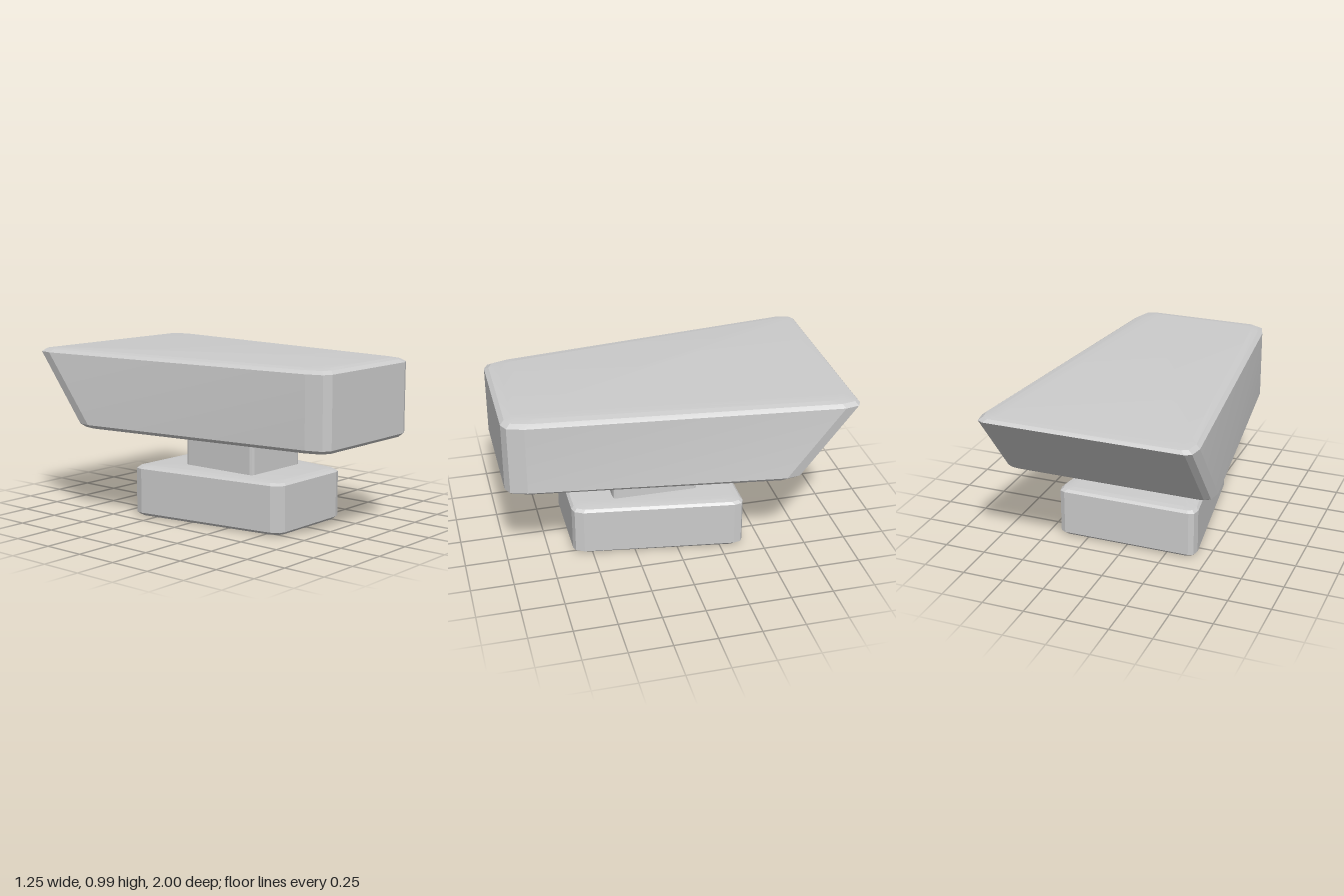
import * as THREE from 'three';
import { toCreasedNormals } from 'three/addons/utils/BufferGeometryUtils.js';

const material = new THREE.MeshStandardMaterial({ color: 0xcccccc });

// Lofts mirrored outlines, given bottom to top, into a closed bevelled block.
// layer: [y, inset, zBack]; corners are [x, z] offsets from the sharp corner,
// running from the front edge along the side to the back edge.
function bevelledBlock(name, { zFront, wFront, wBack, frontCorner, backCorner, layers }) {
  const rings = layers.map(([y, inset, zBack]) => {
    const half = [
      ...frontCorner.map(([dx, dz]) => [wFront - inset - dx, zFront - inset - dz]),
      ...backCorner.map(([dx, dz]) => [wBack - inset - dx, zBack + dz]),
    ];
    const mirrored = half.map(([x, z]) => [-x, z]).reverse();
    return [...half, ...mirrored].map(([x, z]) => [x, y, z]);
  });
  const n = rings[0].length;
  const index = [];
  for (let r = 0; r < rings.length - 1; r++) {
    for (let i = 0; i < n; i++) {
      const a = r * n + i, b = r * n + (i + 1) % n;
      index.push(a, b, b + n, a, b + n, a + n);
    }
  }
  // End caps
  const top = (rings.length - 1) * n;
  for (let i = 1; i < n - 1; i++) {
    index.push(0, i + 1, i);
    index.push(top, top + i, top + i + 1);
  }
  const geometry = new THREE.BufferGeometry();
  geometry.setAttribute('position', new THREE.Float32BufferAttribute(rings.flat(2), 3));
  geometry.setIndex(index);
  const mesh = new THREE.Mesh(toCreasedNormals(geometry, 0.15), material);
  mesh.name = name;
  return mesh;
}

export function createModel() {
  const model = new THREE.Group();
  model.name = 'taperedKnob';

  // Wide tapered head with an undercut, sloping back
  model.add(bevelledBlock('head', {
    zFront: 1, wFront: 0.43, wBack: 0.625,
    frontCorner: [[0.08, 0], [0.03, 0.025], [0, 0.12]],
    backCorner: [[0, 0.1], [0.015, 0.02], [0.05, 0]],
    layers: [
      [0.525, 0.065, -0.59],
      [0.533, 0.02, -0.645],
      [0.553, 0, -0.675],
      [0.962, 0, -1],
      [0.98, 0.025, -0.985],
      [0.987, 0.065, -0.93],
    ],
  }));

  // Straight neck
  model.add(bevelledBlock('neck', {
    zFront: 0.355, wFront: 0.225, wBack: 0.225,
    frontCorner: [[0.02, 0], [0.006, 0.006], [0, 0.02]],
    backCorner: [[0, 0.02], [0.006, 0.006], [0.02, 0]],
    layers: [[0.28, 0, -0.155], [0.56, 0, -0.155]],
  }));

  // Tapered foot
  model.add(bevelledBlock('foot', {
    zFront: 0.61, wFront: 0.305, wBack: 0.43,
    frontCorner: [[0.06, 0], [0.025, 0.012], [0, 0.06]],
    backCorner: [[0, 0.06], [0.01, 0.015], [0.04, 0]],
    layers: [
      [0, 0.05, -0.34],
      [0.005, 0.018, -0.372],
      [0.022, 0, -0.39],
      [0.29, 0, -0.39],
      [0.304, 0.015, -0.375],
      [0.31, 0.05, -0.34],
    ],
  }));

  return model;
}
